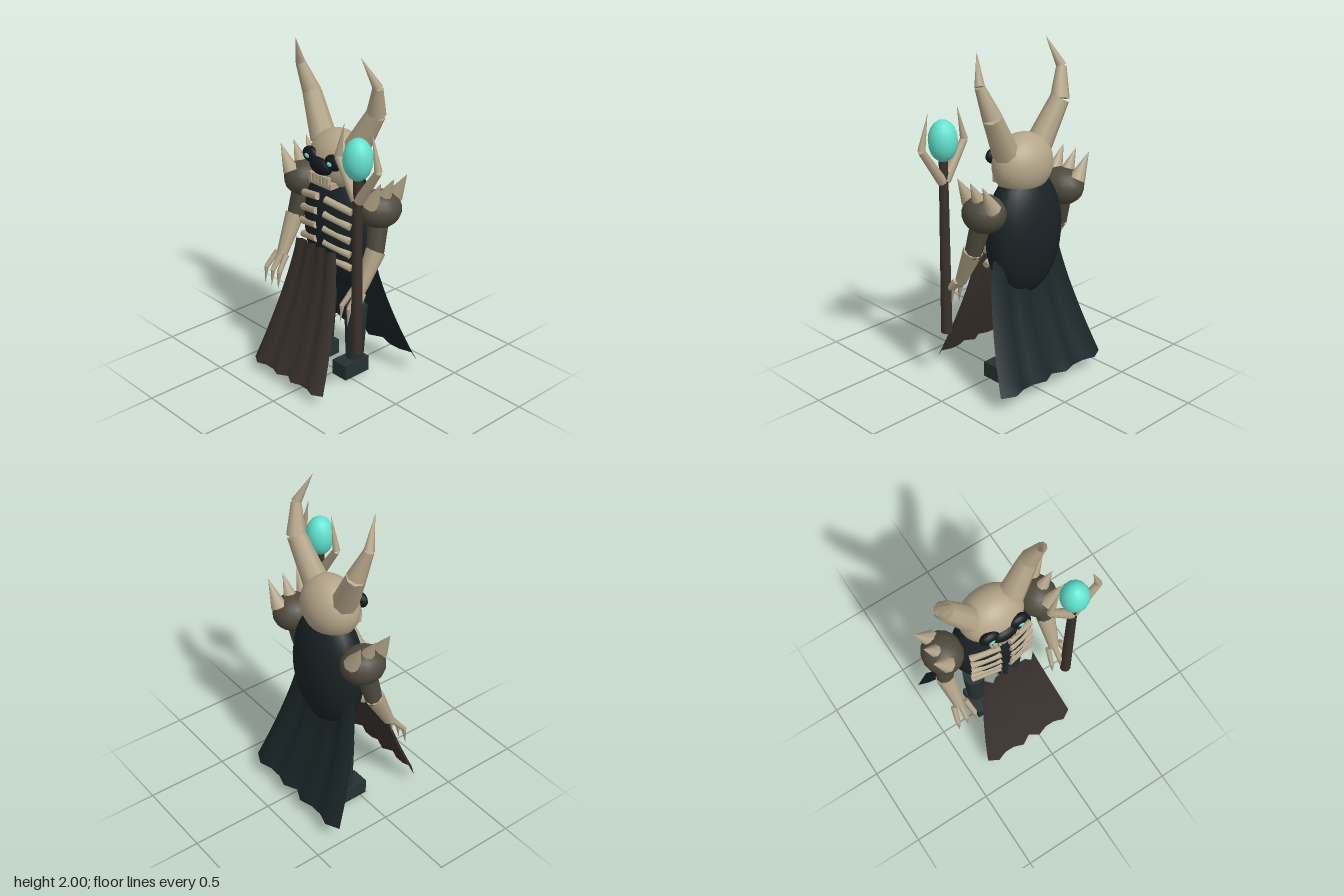
import * as THREE from 'three';

const mat = (color, extra = {}) => new THREE.MeshStandardMaterial({ color, ...extra });
const BONE = mat(0xb5a68a), DARK = mat(0x192225), HIDE = mat(0x4e4a3d), BLACK = mat(0x12191b);
const GLOW = mat(0x62e2cf), WOOD = mat(0x3b312b), BOOT = mat(0x273132);
const CAPE = mat(0x1a2528, { side: THREE.DoubleSide });
const TABARD = mat(0x39312c, { side: THREE.DoubleSide });
const UP = new THREE.Vector3(0, 1, 0);

function add(parent, name, geometry, material, p = [0, 0, 0]) {
  const mesh = new THREE.Mesh(geometry, material);
  mesh.name = name;
  mesh.position.set(...p);
  parent.add(mesh);
  return mesh;
}

function ellipsoid(parent, name, material, p, r, segments = 20) {
  const geometry = new THREE.SphereGeometry(1, segments, Math.round(segments * 0.7));
  add(parent, name, geometry.scale(...r), material, p);
}

// Tapered round bar from point a to point b
function bar(parent, name, material, a, b, ra, rb, sides = 8) {
  const from = new THREE.Vector3(...a), to = new THREE.Vector3(...b);
  const dir = to.clone().sub(from);
  const geometry = rb > 0
    ? new THREE.CylinderGeometry(rb, ra, dir.length(), sides)
    : new THREE.ConeGeometry(ra, dir.length(), sides);
  const mesh = add(parent, name, geometry, material, from.add(to).multiplyScalar(0.5).toArray());
  mesh.quaternion.setFromUnitVectors(UP, dir.normalize());
}

// Chain of tapered bars through points, one radius per point
function chain(parent, name, material, points, radii, sides) {
  const group = new THREE.Group();
  group.name = name;
  for (let i = 0; i < points.length - 1; i++) {
    bar(group, name + 'Segment', material, points[i], points[i + 1], radii[i], radii[i + 1], sides);
  }
  parent.add(group);
}

// Pleated cloth that flares outward and widens toward the hem
function cloth(parent, name, material, { top, bottom, wTop, wBottom, zTop, zBottom, pleat }) {
  const geometry = new THREE.PlaneGeometry(1, 1, 10, 10);
  const pos = geometry.attributes.position;
  for (let i = 0; i < pos.count; i++) {
    const u = pos.getX(i), t = 0.5 - pos.getY(i);
    const fold = pleat * (1 - Math.cos((u + 0.5) * Math.PI * 8)) / 2;
    pos.setXYZ(i,
      u * 2 * THREE.MathUtils.lerp(wTop, wBottom, t),
      THREE.MathUtils.lerp(top, bottom, t),
      zTop + (zBottom - zTop) * t ** 1.5 + fold);
  }
  geometry.computeVertexNormals();
  add(parent, name, geometry, material);
}

function buildSide(body, s) {
  const label = s > 0 ? 'left' : 'right';
  const side = new THREE.Group();
  side.name = label + 'Side';
  body.add(side);

  // Horn
  chain(side, 'horn', BONE,
    [[0.13 * s, 1.42, -0.08], [0.262 * s, 1.66, -0.11], [0.313 * s, 1.83, -0.07], [0.262 * s, 2, 0.008]],
    [0.078, 0.056, 0.029, 0], 8);

  // Eye
  ellipsoid(side, 'eyeSocket', BLACK, [0.093 * s, 1.367, 0.05], [0.062, 0.047, 0.034], 14);
  ellipsoid(side, 'eye', GLOW, [0.093 * s, 1.366, 0.075], [0.023, 0.016, 0.015], 10);

  // Shoulder with a row of spikes
  ellipsoid(side, 'shoulder', HIDE, [0.314 * s, 1.12, -0.097], [0.12, 0.11, 0.132], 16);
  for (const k of [-1, 0, 1]) {
    bar(side, 'shoulderSpike', BONE,
      [0.335 * s, 1.175, -0.097 + 0.09 * k], [0.42 * s, 1.33, -0.1 + 0.1 * k], 0.05, 0, 8);
  }

  // Arm
  bar(side, 'upperArm', HIDE, [0.315 * s, 1.1, -0.09], [0.345 * s, 0.86, -0.035], 0.065, 0.05, 8);
  bar(side, 'forearm', BONE, [0.345 * s, 0.89, -0.04], [0.335 * s, 0.655, 0.08], 0.058, 0.033, 8);

  // Clawed fingers
  for (const k of [-1, 0, 1]) {
    const x = 0.333 * s;
    chain(side, 'finger', BONE,
      [[x + 0.04 * k, 0.67, 0.08], [x + 0.058 * k, 0.585, 0.15], [x + 0.06 * k, 0.475, 0.165]],
      [0.019, 0.016, 0], 6);
  }

  // Ribs
  for (let i = 0; i < 5; i++) {
    const y = 1.11 - 0.087 * i;
    const z = 0.068 - 0.4 * (y - 0.93) ** 2;
    bar(side, 'rib', BONE, [0.03 * s, y + 0.018, z], [0.2 * s, y - 0.022, z - 0.045], 0.022, 0.022, 8);
  }

  // Leg and foot
  bar(side, 'leg', BOOT, [0.133 * s, 0.09, -0.083], [0.133 * s, 0.44, -0.093], 0.053, 0.07, 8);
  add(side, 'foot', new THREE.BoxGeometry(0.115, 0.095, 0.19), BOOT, [0.133 * s, 0.0475, -0.052]);
}

function buildStaff(model) {
  const staff = new THREE.Group();
  staff.name = 'staff';
  staff.position.set(0.322, 0, 0.145);
  model.add(staff);
  bar(staff, 'shaft', WOOD, [0, 0.33, 0], [0, 1.39, 0], 0.034, 0.026, 10);
  ellipsoid(staff, 'orb', GLOW, [0, 1.5, 0], [0.084, 0.12, 0.084], 14);
  for (const s of [-1, 1]) {
    chain(staff, 'prong', BONE,
      [[0.01 * s, 1.265, 0], [0.155 * s, 1.475, 0], [0.105 * s, 1.68, 0]], [0.032, 0.022, 0], 8);
  }
}

export function createModel() {
  const model = new THREE.Group();
  const body = new THREE.Group();
  body.name = 'body';
  body.position.x = -0.068;
  model.add(body);

  // Torso and skull
  ellipsoid(body, 'torso', DARK, [0, 0.925, -0.092], [0.26, 0.39, 0.166], 24);
  ellipsoid(body, 'skull', BONE, [0, 1.33, -0.08], [0.195, 0.18, 0.15], 24);
  ellipsoid(body, 'noseHollow', BLACK, [0, 1.325, 0.055], [0.088, 0.054, 0.045], 14);

  // Jaw and teeth
  add(body, 'jaw', new THREE.BoxGeometry(0.18, 0.035, 0.08), BONE, [0, 1.222, 0.03]);
  for (let i = 0; i < 6; i++) {
    add(body, 'tooth', new THREE.BoxGeometry(0.02, 0.05, 0.025), BONE, [-0.07 + 0.028 * i, 1.25, 0.068]);
  }

  for (const s of [-1, 1]) buildSide(body, s);

  // Cloth panels
  cloth(body, 'tabard', TABARD,
    { top: 0.86, bottom: 0.065, wTop: 0.165, wBottom: 0.305, zTop: 0.1, zBottom: 0.327, pleat: 0.04 });
  cloth(body, 'cape', CAPE,
    { top: 0.82, bottom: 0.09, wTop: 0.26, wBottom: 0.412, zTop: -0.11, zBottom: -0.33, pleat: -0.044 });

  buildStaff(model);
  return model;
}
